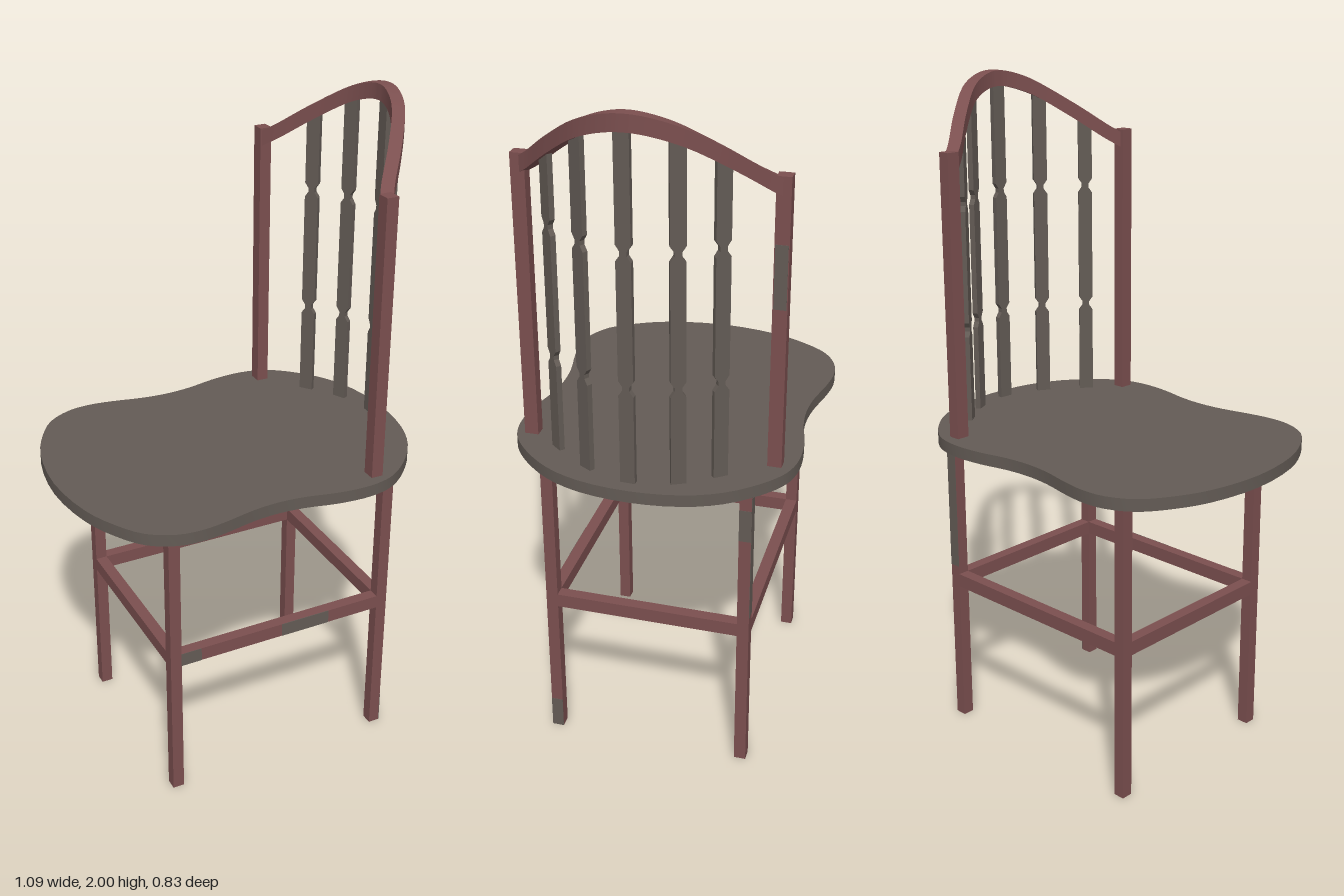
import * as THREE from 'three';
import { toCreasedNormals } from 'three/addons/utils/BufferGeometryUtils.js';

const SEAT_TOP = 0.978, SEAT_BOTTOM = 0.942;
const LEG = 0.035, LEG_X = [-0.309, 0.389], LEG_Z = [-0.294, 0.284];
const POST_X = 0.299, POST_Z = [-0.352, 0.356];

// Plan curve of the back rail; its height rises with x
const railY = (x) => x + 1.481;
const railHalf = [[0.301, 0.342], [0.325, 0.308], [0.394, 0.225], [0.463, 0.125], [0.49, 0.05]];
const railCurve = new THREE.CatmullRomCurve3(
  [...railHalf.map(([x, z]) => [x, -z]), [0.496, 0], ...railHalf.slice().reverse()]
    .map(([x, z]) => new THREE.Vector3(x, railY(x), z)));

// Sweeps an upright rectangle along a curve
function sweepRectangle(curve, width, height, steps) {
  const positions = [], index = [];
  for (let i = 0; i <= steps; i++) {
    const p = curve.getPoint(i / steps), t = curve.getTangent(i / steps);
    const side = new THREE.Vector3(t.z, 0, -t.x).normalize();
    for (const [a, b] of [[-1, -1], [1, -1], [1, 1], [-1, 1]]) {
      positions.push(p.x + side.x * a * width / 2, p.y + b * height / 2, p.z + side.z * a * width / 2);
    }
  }
  for (let i = 0; i < steps; i++) {
    for (let k = 0; k < 4; k++) {
      const a = i * 4 + k, b = i * 4 + (k + 1) % 4;
      index.push(a, b, a + 4, b, b + 4, a + 4);
    }
  }
  const e = steps * 4;
  index.push(0, 2, 1, 0, 3, 2, e, e + 1, e + 2, e, e + 2, e + 3);
  const g = new THREE.BufferGeometry();
  g.setAttribute('position', new THREE.Float32BufferAttribute(positions, 3));
  g.setIndex(index);
  g.computeVertexNormals();
  return toCreasedNormals(g, 0.6);
}

// Flat board slat whose outline has two pinched necks
function slatGeometry(height) {
  const full = 0.021, neck = 0.01, depth = 0.016;
  const edge = [[full, 0]];
  for (const y of [1.262, 1.64]) {
    const h = y - SEAT_TOP;
    edge.push([full, h - 0.022], [neck, h - 0.006], [neck, h + 0.006], [full, h + 0.022]);
  }
  edge.push([full, height]);
  const outline = [...edge, ...edge.slice().reverse().map(([x, y]) => [-x, y])];
  const shape = new THREE.Shape(outline.map(([x, y]) => new THREE.Vector2(x, y)));
  const g = new THREE.ExtrudeGeometry(shape, { depth, bevelEnabled: false });
  g.translate(0, 0, -depth / 2);
  return g.rotateY(Math.PI / 2);
}

export function createModel() {
  const chair = new THREE.Group();
  chair.name = 'chair';
  const redWood = new THREE.MeshStandardMaterial({ color: 0x7b4f4f });
  redWood.name = 'red brown wood';
  const greyWood = new THREE.MeshStandardMaterial({ color: 0x635b55 });
  greyWood.name = 'grey brown wood';

  const add = (name, geometry, material, x = 0, y = 0, z = 0) => {
    const mesh = new THREE.Mesh(geometry, material);
    mesh.name = name;
    mesh.position.set(x, y, z);
    chair.add(mesh);
    return mesh;
  };

  // Seat: waisted outline, mirrored across z
  const half = [[-0.52, 0.18], [-0.475, 0.285], [-0.42, 0.362], [-0.345, 0.404], [-0.275, 0.413],
    [-0.2, 0.404], [-0.1, 0.383], [-0.02, 0.377], [0.06, 0.384], [0.15, 0.404], [0.235, 0.412],
    [0.3, 0.405], [0.35, 0.386], [0.415, 0.335], [0.484, 0.25], [0.527, 0.145]];
  const outline = [[-0.545, 0], ...half, [0.544, 0], ...half.slice().reverse().map(([x, z]) => [x, -z])];
  const loop = new THREE.CatmullRomCurve3(outline.map(([x, z]) => new THREE.Vector3(x, z, 0)), true);
  const shape = new THREE.Shape(loop.getPoints(102).slice(0, -1).map((p) => new THREE.Vector2(p.x, p.y)));
  const seat = new THREE.ExtrudeGeometry(shape, { depth: SEAT_TOP - SEAT_BOTTOM, bevelEnabled: false });
  seat.rotateX(Math.PI / 2);
  add('seat', toCreasedNormals(seat, 0.6), greyWood, 0, SEAT_TOP, 0);

  // Legs and the ring of stretchers
  const legHeight = SEAT_BOTTOM + 0.005, barY = 0.474, barHeight = 0.042;
  const [x0, x1] = LEG_X, [z0, z1] = LEG_Z;
  for (const z of LEG_Z) {
    for (const x of LEG_X) {
      add('leg', new THREE.BoxGeometry(LEG, legHeight, LEG), redWood, x, legHeight / 2, z);
    }
    add('sideStretcher', new THREE.BoxGeometry(x1 - x0 - LEG, barHeight, LEG), redWood,
      (x0 + x1) / 2, barY, z);
  }
  for (const x of LEG_X) {
    add('crossStretcher', new THREE.BoxGeometry(LEG, barHeight, z1 - z0 - LEG), redWood,
      x, barY, (z0 + z1) / 2);
  }

  // Back posts and bowed top rail
  const postHeight = 1.812 - SEAT_TOP, postWidth = 0.036;
  for (const z of POST_Z) {
    add('backPost', new THREE.BoxGeometry(postWidth, postHeight, 0.04), redWood,
      POST_X, SEAT_TOP + postHeight / 2, z);
  }
  add('topRail', sweepRectangle(railCurve, 0.036, 0.046, 48), redWood);

  // Grey grain patches: front stretcher, outer faces, rear face of one leg
  for (const [x, length] of [[-0.26, 0.065], [0.12, 0.16]]) {
    add('grainPatch', new THREE.BoxGeometry(length, barHeight, 0.002), greyWood, x, barY, z1 + LEG / 2);
  }
  const sideFace = x1 + LEG / 2;
  for (const [x, y, z, height] of [[sideFace, 0.05, z1, 0.1], [sideFace, 0.83, z0, 0.1],
    [POST_X + postWidth / 2, 1.54, POST_Z[0], 0.18]]) {
    add('grainPatch', new THREE.BoxGeometry(0.002, height, LEG), greyWood, x, y, z);
  }
  add('grainPatch', new THREE.BoxGeometry(LEG, 0.4, 0.002), greyWood, x1, 0.72, z0 - LEG / 2);

  // Slats standing along the rail, each turned to follow it
  const samples = railCurve.getPoints(400);
  for (const z of [0.256, 0.14, 0.01, -0.121, -0.22]) {
    const i = samples.findIndex((p) => p.z >= z);
    const p = samples[i], q = samples[i - 1];
    const slat = add('backSlat', slatGeometry(railY(p.x) - SEAT_TOP), greyWood, p.x, SEAT_TOP, p.z);
    slat.rotation.y = Math.atan2(p.x - q.x, p.z - q.z);
  }
  return chair;
}
